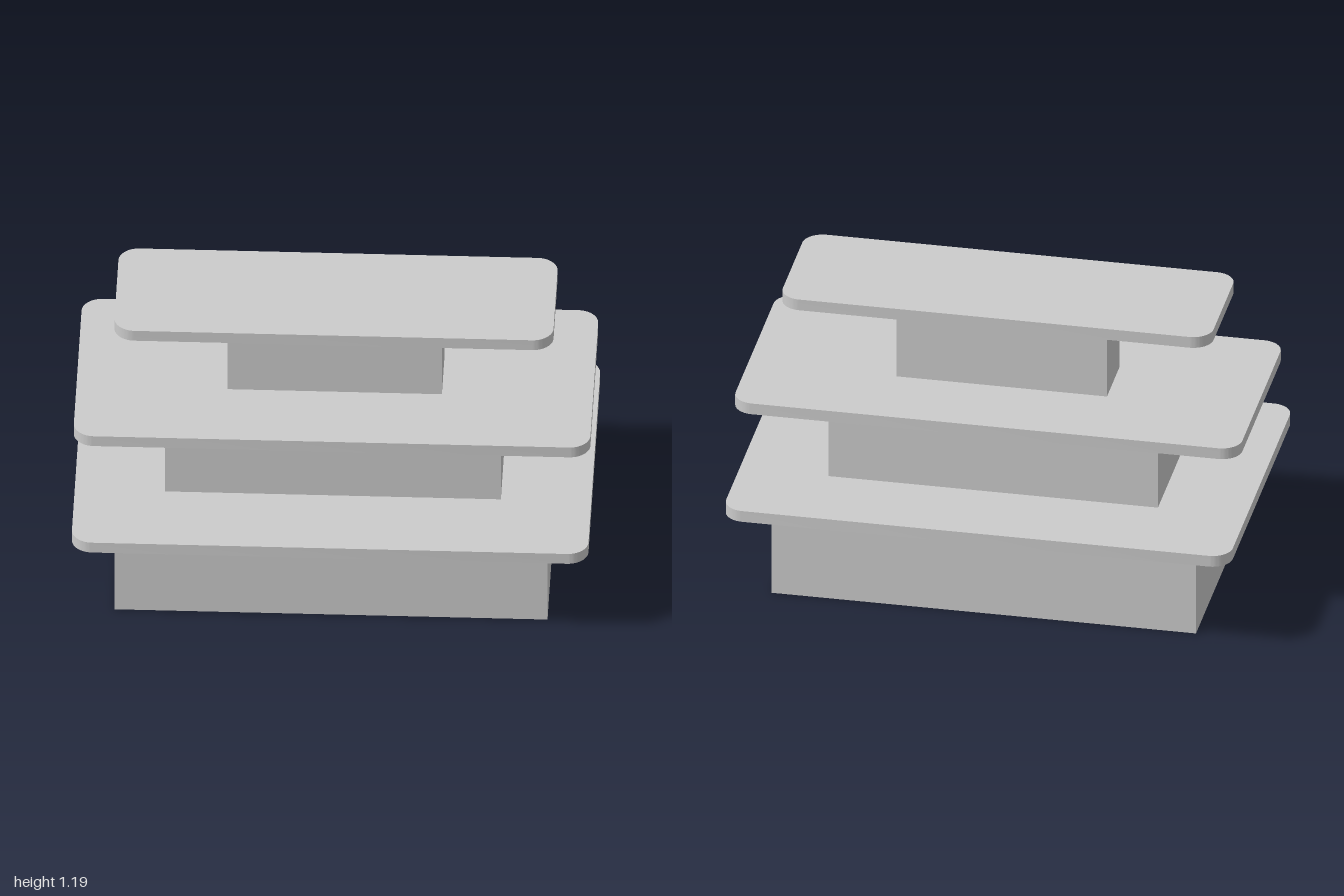
import * as THREE from 'three';
import { toCreasedNormals } from 'three/addons/utils/BufferGeometryUtils.js';

const material = new THREE.MeshStandardMaterial({ color: 0xcccccc });

// Flat slab with rounded vertical corners, standing on y = 0
function slabGeometry(width, depth, height, radius) {
  const x = width / 2, y = depth / 2, r = radius;
  const shape = new THREE.Shape();
  shape.absarc(x - r, y - r, r, 0, Math.PI / 2);
  shape.absarc(-x + r, y - r, r, Math.PI / 2, Math.PI);
  shape.absarc(-x + r, -y + r, r, Math.PI, Math.PI * 1.5);
  shape.absarc(x - r, -y + r, r, Math.PI * 1.5, Math.PI * 2);
  shape.closePath();
  const geometry = new THREE.ExtrudeGeometry(shape, { depth: height, bevelEnabled: false, curveSegments: 10 });
  geometry.rotateX(-Math.PI / 2);
  return toCreasedNormals(geometry, Math.PI / 6);
}

// Each tier: a box pedestal carrying a wider rounded shelf
const tiers = [
  { name: 'lower', box: [1.676, 0.95], bottom: 0, shelf: [2, 1.27], shelfY: 0.387 },
  { name: 'middle', box: [1.3, 0.576], bottom: 0.434, shelf: [2, 0.9], shelfY: 0.762 },
  { name: 'upper', box: [0.83, 0.242], bottom: 0.808, shelf: [1.7, 0.54], shelfY: 1.14 },
];
const shelfThickness = 0.047;
const cornerRadius = 0.08;

export function createModel() {
  const model = new THREE.Group();
  model.name = 'tieredDisplayStand';

  for (const { name, box, bottom, shelf, shelfY } of tiers) {
    const tier = new THREE.Group();
    tier.name = `${name}Tier`;

    // Pedestal
    const height = shelfY - bottom;
    const pedestal = new THREE.Mesh(new THREE.BoxGeometry(box[0], height, box[1]), material);
    pedestal.name = `${name}Pedestal`;
    pedestal.position.y = bottom + height / 2;

    // Shelf
    const top = new THREE.Mesh(slabGeometry(shelf[0], shelf[1], shelfThickness, cornerRadius), material);
    top.name = `${name}Shelf`;
    top.position.y = shelfY;

    tier.add(pedestal, top);
    model.add(tier);
  }
  return model;
}
